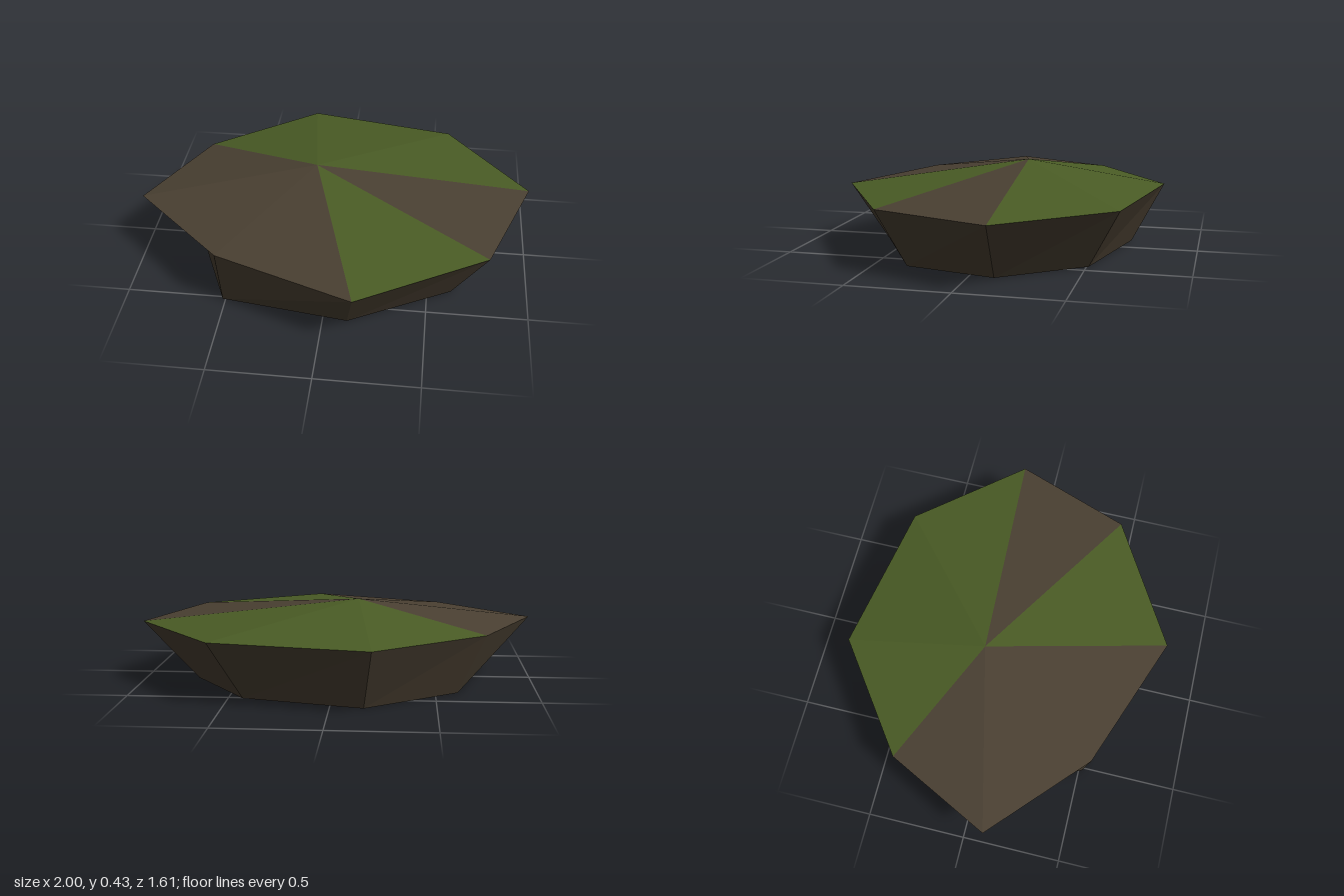
import * as THREE from 'three';

// Corner points [x, z], clockwise seen from above
const RIM = [[-0.2, -0.81], [0.57, -0.67], [1, -0.155], [0.79, 0.43],
  [0.16, 0.8], [-0.53, 0.545], [-1, 0.11], [-0.74, -0.415]];
const BASE = [[-0.16, -0.65], [0.43, -0.51], [0.725, -0.12], [0.62, 0.335],
  [0.12, 0.605], [-0.515, 0.515], [-0.705, 0.08], [-0.61, -0.34]];
const RIM_Y = 0.305;
const PEAK = [-0.11, 0.425, -0.1];
const MOSSY = [0, 1, 3, 7]; // top facets that carry moss

export function createModel() {
  const rock = new THREE.MeshStandardMaterial({ color: 0x4a4032 });
  rock.name = 'rockBrown';
  const moss = new THREE.MeshStandardMaterial({ color: 0x4a5c25 });
  moss.name = 'mossGreen';

  const group = new THREE.Group();
  group.name = 'mossyRock';

  const rim = RIM.map(([x, z]) => [x, RIM_Y, z]);
  const base = BASE.map(([x, z]) => [x, 0, z]);
  const sides = [], underside = [], rockTop = [], mossTop = [];

  rim.forEach((r, i) => {
    const j = (i + 1) % rim.length;
    // Sloping side facet
    sides.push(r, rim[j], base[j], r, base[j], base[i]);
    // Flat underside wedge
    underside.push([0, 0, 0], base[i], base[j]);
    // Shallow top facet rising to the peak
    (MOSSY.includes(i) ? mossTop : rockTop).push(PEAK, rim[j], r);
  });

  // Separate corners per facet keep the faces flat
  const add = (name, points, material) => {
    const geometry = new THREE.BufferGeometry();
    geometry.setAttribute('position', new THREE.Float32BufferAttribute(points.flat(), 3));
    geometry.computeVertexNormals();
    const mesh = new THREE.Mesh(geometry, material);
    mesh.name = name;
    group.add(mesh);
  };
  add('rockSides', sides, rock);
  add('rockUnderside', underside, rock);
  add('bareTopFacets', rockTop, rock);
  add('mossTopFacets', mossTop, moss);
  return group;
}
